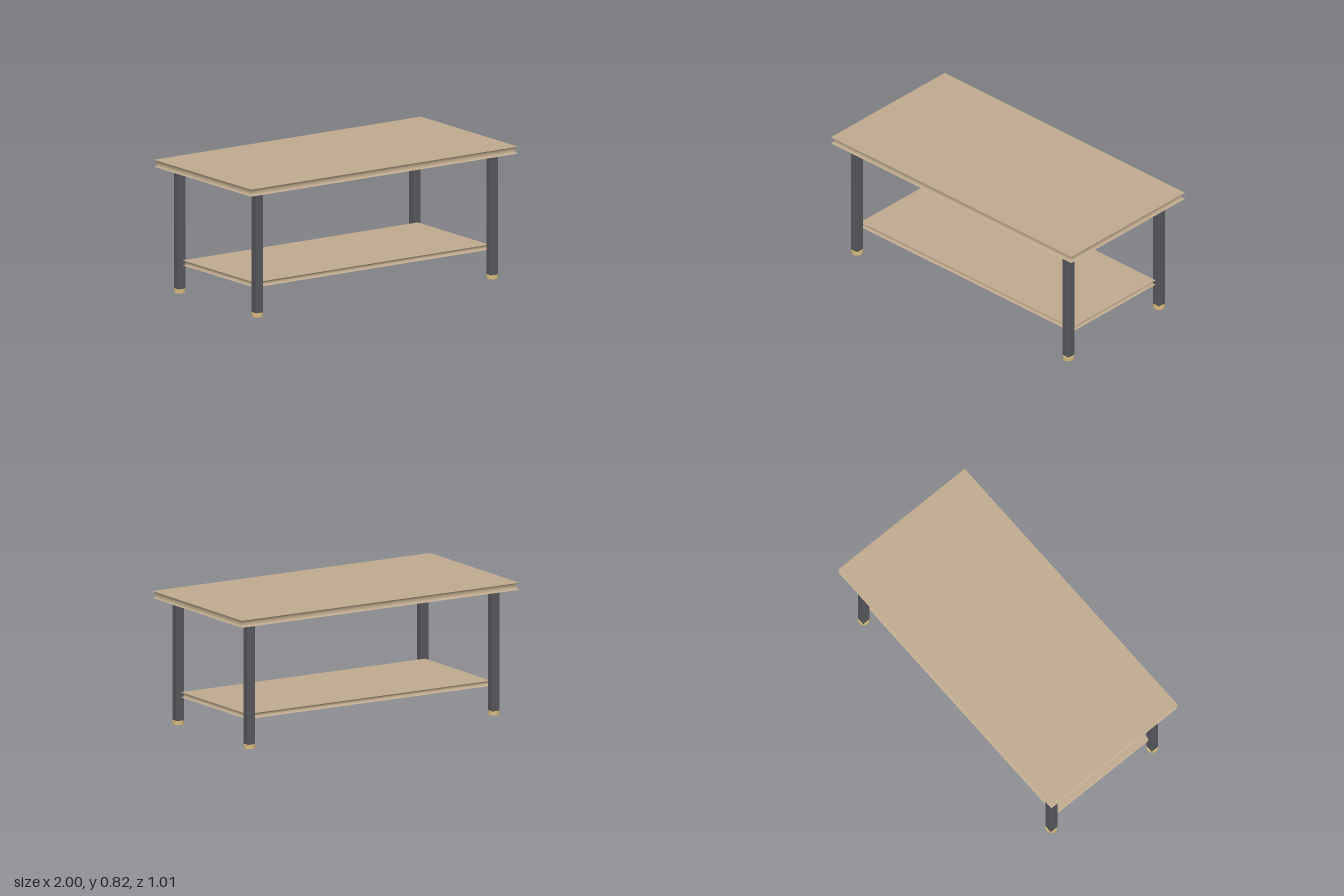
import * as THREE from 'three';

const wood = new THREE.MeshStandardMaterial({ color: 0xbfaa8e });
const steel = new THREE.MeshStandardMaterial({ color: 0x58595e });
const brass = new THREE.MeshStandardMaterial({ color: 0xd6ba7c });

// Flat board whose four edges are hollowed by a cove of the given depth
function covedBoard(name, width, depth, bottom, top, cove) {
  const h = top - bottom;
  const geo = new THREE.BoxGeometry(width, h, depth, 1, 12, 1);
  const pos = geo.attributes.position;
  for (let i = 0; i < pos.count; i++) {
    const a = (pos.getY(i) / h) * Math.PI; // -PI/2 .. PI/2
    const inset = cove * Math.cos(a);
    pos.setXYZ(
      i,
      pos.getX(i) - Math.sign(pos.getX(i)) * inset,
      (Math.sin(a) * h) / 2,
      pos.getZ(i) - Math.sign(pos.getZ(i)) * inset
    );
  }
  geo.computeVertexNormals();
  const mesh = new THREE.Mesh(geo, wood);
  mesh.name = name;
  mesh.position.y = (bottom + top) / 2;
  return mesh;
}

// Square post with narrow chamfers on its long edges
function legGeometry(size, chamfer, height) {
  const r = size / 2, c = r - chamfer;
  const shape = new THREE.Shape(
    [[c, -r], [r, -c], [r, c], [c, r], [-c, r], [-r, c], [-r, -c], [-c, -r]]
      .map(([x, y]) => new THREE.Vector2(x, y))
  );
  return new THREE.ExtrudeGeometry(shape, { depth: height, bevelEnabled: false }).rotateX(-Math.PI / 2);
}

export function createModel() {
  const table = new THREE.Group();
  table.name = 'table';

  table.add(covedBoard('tabletop', 2, 1.007, 0.778, 0.821, 0.014));
  table.add(covedBoard('lowerShelf', 1.76, 0.744, 0.172, 0.203, 0.014));

  // Four legs, each on a round foot
  const footHeight = 0.025;
  const legGeo = legGeometry(0.054, 0.004, 0.778 - footHeight);
  const footGeo = new THREE.CylinderGeometry(0.036, 0.036, footHeight, 24);
  for (const [sx, side] of [[1, 'Left'], [-1, 'Right']]) {
    for (const [sz, end] of [[1, 'front'], [-1, 'back']]) {
      const group = new THREE.Group();
      group.name = `${end}${side}Leg`;
      group.position.set(sx * 0.88, 0, sz * 0.401);
      const post = new THREE.Mesh(legGeo, steel);
      post.name = 'post';
      post.position.y = footHeight;
      const foot = new THREE.Mesh(footGeo, brass);
      foot.name = 'foot';
      foot.position.y = footHeight / 2;
      group.add(post, foot);
      table.add(group);
    }
  }
  return table;
}
